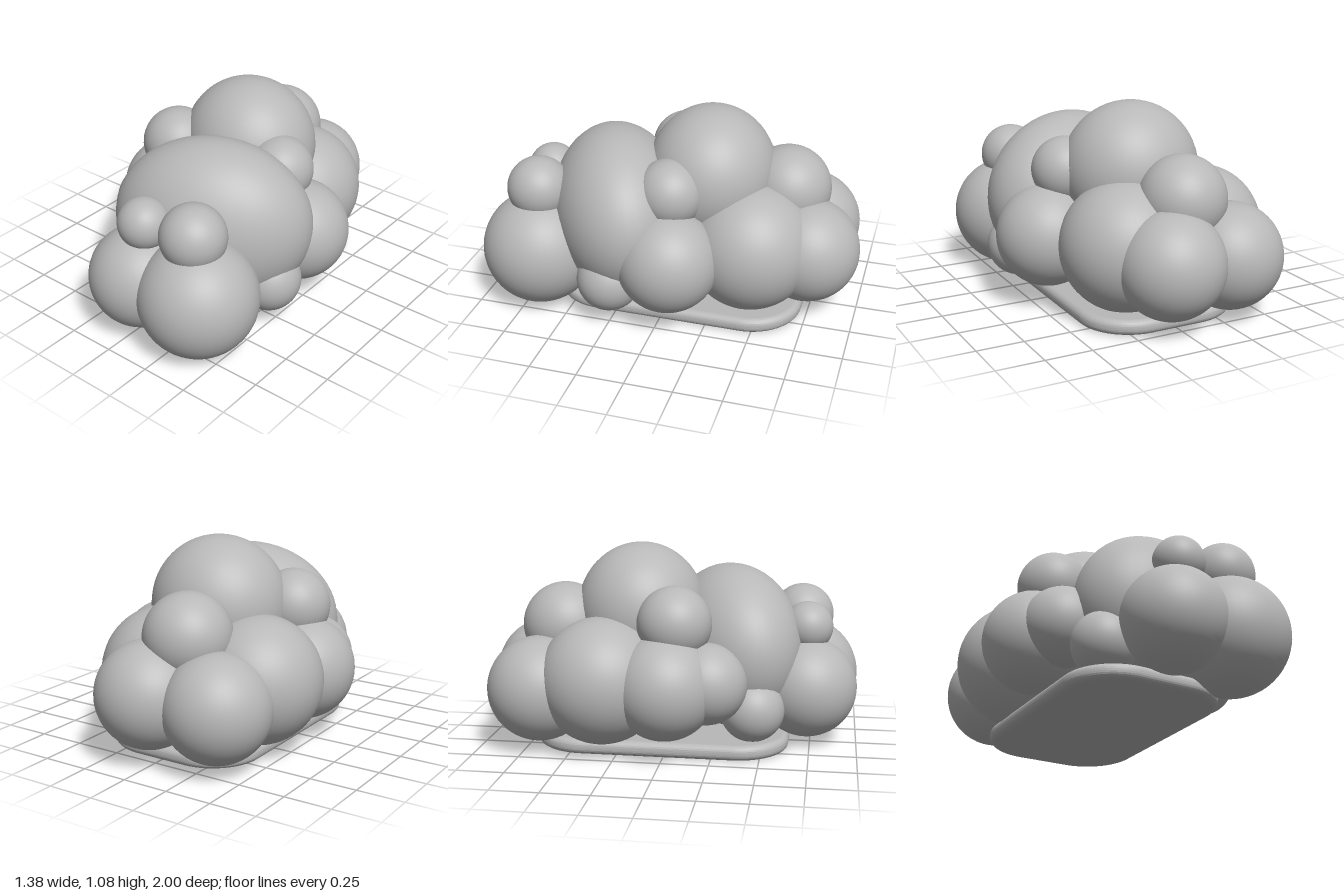
import * as THREE from 'three';

const grey = new THREE.MeshStandardMaterial({ color: 0xb8b8b8 });
grey.name = 'softGrey';

// Rounded puffs: name, centre, radius
const PUFFS = [
  ['frontLeftPuff', 0.34, 0.31, 0.69, 0.31],
  ['frontRightPuff', -0.01, 0.31, 0.725, 0.27],
  ['frontLeftBud', 0.315, 0.65, 0.69, 0.17],
  ['frontRightBud', 0.025, 0.635, 0.725, 0.135],
  ['rightShoulderPuff', -0.33, 0.7, 0.05, 0.195],
  ['leftShoulderPuff', 0.3, 0.71, -0.03, 0.18],
  ['leftSidePuff', 0.415, 0.375, -0.05, 0.273],
  ['leftLowPuff', 0.455, 0.24, 0.26, 0.172],
  ['backLeftPuff', 0.15, 0.385, -0.43, 0.345],
  ['backPuff', 0.05, 0.35, -0.72, 0.28],
  ['backTopPuff', -0.09, 0.635, -0.58, 0.23],
  ['backRightPuff', -0.32, 0.33, -0.67, 0.28],
  ['rightBigPuff', -0.345, 0.39, -0.33, 0.335],
  ['rightSidePuff', -0.415, 0.38, 0.01, 0.275],
  ['rightFrontPuff', -0.36, 0.395, 0.22, 0.213],
  ['rightLowPuff', -0.245, 0.235, 0.45, 0.17],
];

// Flat slab with rounded corners and a rounded rim, lying on y = 0
function makeBase(halfX, halfZ, radius, height, bevel) {
  const x = halfX - bevel, z = halfZ - bevel, r = radius - bevel;
  const s = new THREE.Shape();
  s.absarc(x - r, z - r, r, 0, Math.PI / 2);
  s.absarc(-x + r, z - r, r, Math.PI / 2, Math.PI);
  s.absarc(-x + r, -z + r, r, Math.PI, Math.PI * 1.5);
  s.absarc(x - r, -z + r, r, Math.PI * 1.5, Math.PI * 2);
  const geo = new THREE.ExtrudeGeometry(s, {
    depth: height - 2 * bevel, bevelSize: bevel, bevelThickness: bevel,
    bevelSegments: 6, curveSegments: 16,
  });
  geo.rotateX(-Math.PI / 2);
  geo.translate(0, bevel, 0);
  return geo;
}

export function createModel() {
  const model = new THREE.Group();
  model.name = 'cloud';
  const ball = new THREE.SphereGeometry(1, 48, 32);

  const addPuff = (name, x, y, z, rx, ry = rx, rz = rx, turn = 0) => {
    const puff = new THREE.Mesh(ball, grey);
    puff.name = name;
    puff.position.set(x, y, z);
    puff.scale.set(rx, ry, rz);
    puff.rotation.y = turn;
    model.add(puff);
  };

  for (const p of PUFFS) addPuff(...p);

  // Two large central masses
  addPuff('mainBody', 0.13, 0.5, 0.31, 0.525, 0.45, 0.36, 0.42);
  addPuff('crown', -0.01, 0.71, -0.175, 0.368, 0.368, 0.347);

  // Flat stand
  const base = new THREE.Mesh(makeBase(0.425, 0.68, 0.28, 0.08, 0.035), grey);
  base.name = 'base';
  base.position.z = -0.04;
  model.add(base);

  return model;
}
